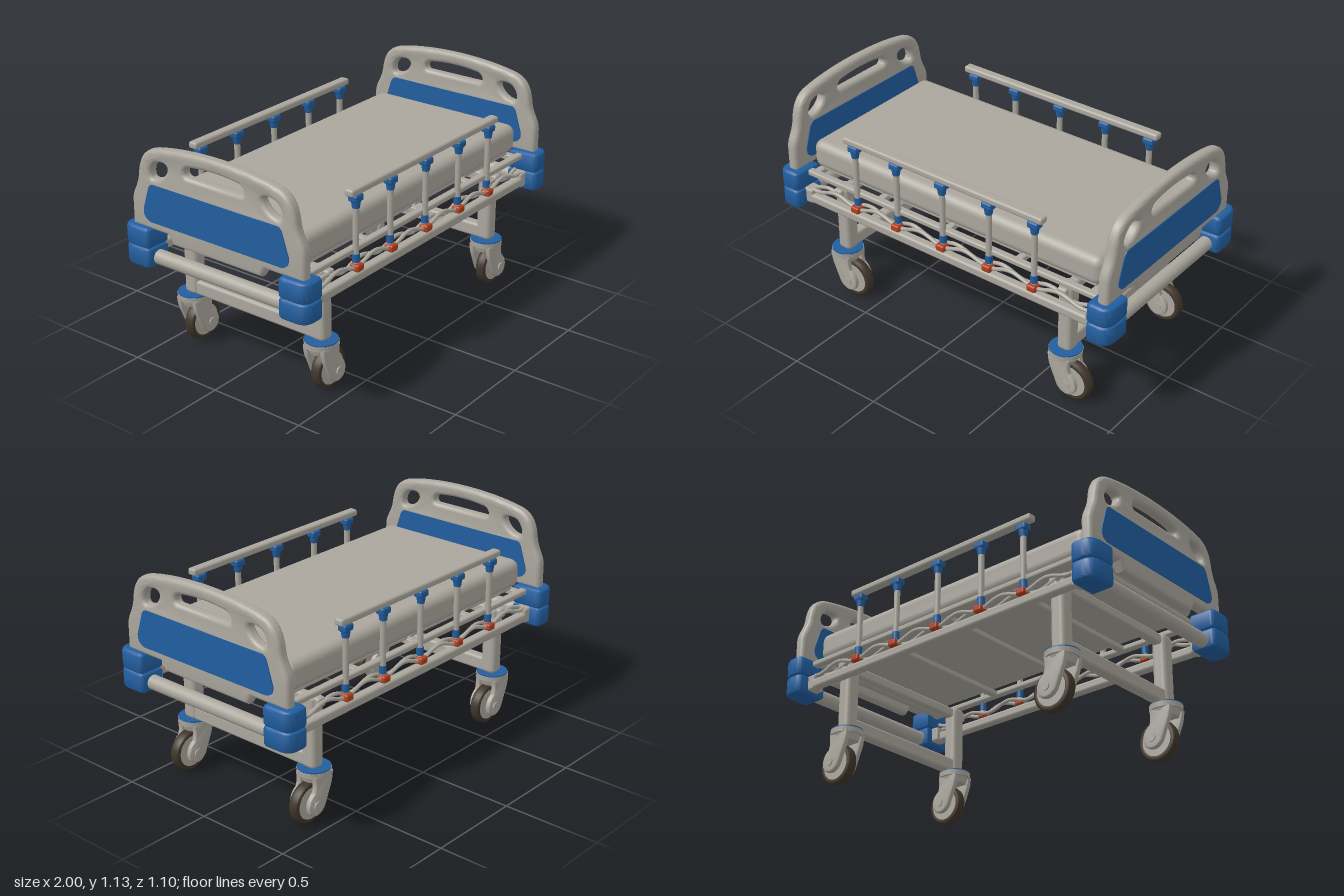
import * as THREE from 'three';
import { toCreasedNormals } from 'three/addons/utils/BufferGeometryUtils.js';
import { RoundedBoxGeometry } from 'three/addons/geometries/RoundedBoxGeometry.js';

const mat = (name, color) => {
  const m = new THREE.MeshStandardMaterial({ color });
  m.name = name;
  return m;
};

export function createModel() {
  const grey = mat('warm grey', 0xaaa69d);
  const blue = mat('blue plastic', 0x215e9f);
  const red = mat('red catch', 0xb23e1c);
  const dark = mat('tyre rubber', 0x40352a);
  const root = new THREE.Group();
  root.name = 'hospitalBed';

  const add = (name, geo, material, x = 0, y = 0, z = 0, parent = root) => {
    const m = new THREE.Mesh(geo, material);
    m.name = name;
    m.position.set(x, y, z);
    parent.add(m);
    return m;
  };
  const box = (w, h, d, r) => new RoundedBoxGeometry(w, h, d, 3, r);
  const cyl = (rt, rb, h, n = 24) => new THREE.CylinderGeometry(rt, rb, h, n);
  const extrude = (shape, depth, bevel, crease = 0.6) => {
    const g = new THREE.ExtrudeGeometry(shape, {
      depth: depth - 2 * bevel, bevelEnabled: bevel > 0, bevelThickness: bevel,
      bevelSize: bevel, bevelOffset: -bevel, bevelSegments: 4, curveSegments: 10,
    });
    g.translate(0, 0, bevel - depth / 2);
    return toCreasedNormals(g, crease);
  };

  // Mattress and the sectioned deck below it
  add('mattress', box(1.73, 0.15, 0.86, 0.045), grey, 0, 0.777, 0);
  for (let i = 0; i < 4; i++) {
    add('deckPanel', box(0.4, 0.02, 0.8, 0.008), grey, -0.63 + i * 0.42, 0.695, 0);
  }
  for (const x of [-0.84, -0.42, 0, 0.42, 0.84]) {
    add('deckCrossMember', box(0.04, 0.03, 0.86, 0.008), grey, x, 0.675, 0);
  }

  // End boards with hand holes and blue panels
  const board = new THREE.Shape();
  board.moveTo(-0.51, 0.69);
  board.lineTo(-0.29, 0.69);
  board.lineTo(-0.265, 0.645);
  board.lineTo(0.265, 0.645);
  board.lineTo(0.29, 0.69);
  board.lineTo(0.51, 0.69);
  board.lineTo(0.51, 0.82);
  board.bezierCurveTo(0.505, 0.87, 0.475, 0.89, 0.465, 0.95);
  board.bezierCurveTo(0.455, 1.04, 0.42, 1.08, 0.36, 1.095);
  board.bezierCurveTo(0.25, 1.12, 0.12, 1.13, 0, 1.13);
  board.bezierCurveTo(-0.12, 1.13, -0.25, 1.12, -0.36, 1.095);
  board.bezierCurveTo(-0.42, 1.08, -0.455, 1.04, -0.465, 0.95);
  board.bezierCurveTo(-0.475, 0.89, -0.505, 0.87, -0.51, 0.82);
  board.closePath();
  const slot = new THREE.Path();
  slot.moveTo(-0.16, 1.007);
  slot.lineTo(0.16, 1.007);
  slot.bezierCurveTo(0.185, 1.01, 0.18, 1.045, 0.15, 1.055);
  slot.quadraticCurveTo(0, 1.078, -0.15, 1.055);
  slot.bezierCurveTo(-0.18, 1.045, -0.185, 1.01, -0.16, 1.007);
  board.holes.push(slot);
  for (const s of [-1, 1]) {
    const h = new THREE.Path();
    h.moveTo(s * 0.375, 0.95);
    h.bezierCurveTo(s * 0.335, 0.945, s * 0.28, 0.985, s * 0.28, 1.02);
    h.bezierCurveTo(s * 0.285, 1.045, s * 0.33, 1.04, s * 0.355, 1.03);
    h.bezierCurveTo(s * 0.385, 1.01, s * 0.4, 0.96, s * 0.375, 0.95);
    board.holes.push(h);
  }
  const panel = new THREE.Shape();
  panel.moveTo(-0.39, 0.733);
  panel.lineTo(0.39, 0.733);
  panel.quadraticCurveTo(0.435, 0.745, 0.43, 0.79);
  panel.lineTo(0.395, 0.9);
  panel.quadraticCurveTo(0.385, 0.925, 0.36, 0.923);
  panel.lineTo(-0.36, 0.923);
  panel.quadraticCurveTo(-0.385, 0.925, -0.395, 0.9);
  panel.lineTo(-0.43, 0.79);
  panel.quadraticCurveTo(-0.435, 0.745, -0.39, 0.733);
  const boardGeo = extrude(board, 0.06, 0.022).rotateY(-Math.PI / 2);
  const panelGeo = extrude(panel, 0.006, 0).rotateY(-Math.PI / 2);

  // Bumper outline: large radius on the outer corner
  const bumper = new THREE.Shape();
  bumper.moveTo(-0.065, -0.082);
  bumper.lineTo(0.04, -0.082);
  bumper.quadraticCurveTo(0.065, -0.08, 0.065, -0.05);
  bumper.lineTo(0.065, 0.01);
  bumper.quadraticCurveTo(0.065, 0.082, 0.0, 0.082);
  bumper.lineTo(-0.035, 0.082);
  bumper.quadraticCurveTo(-0.065, 0.08, -0.065, 0.045);
  bumper.closePath();
  const bumperGeo = extrude(bumper, 0.102, 0.018, 0.9).rotateX(Math.PI / 2);

  for (const sx of [-1, 1]) {
    add('endBoard', boardGeo, grey, sx * 0.935, 0, 0);
    for (const side of [-1, 1]) add('endBoardPanel', panelGeo, blue, sx * 0.935 + side * 0.031, 0, 0);
    add('endCrossTube', cyl(0.036, 0.036, 0.9).rotateX(Math.PI / 2), grey, sx * 0.93, 0.545, 0);
    for (const sz of [-1, 1]) {
      const corner = new THREE.Group();
      corner.name = 'cornerBumper';
      corner.position.set(sx * 0.935, 0, sz * 0.467);
      // Rotate rather than mirror, swapping the outline's handedness as needed
      const g = bumperGeo.clone();
      if (sx * sz < 0) g.rotateX(Math.PI);
      if (sx < 0) g.rotateY(Math.PI);
      for (const y of [0.55, 0.65]) add('bumperLobe', g, blue, 0, y, 0, corner);
      root.add(corner);
      add('cornerBracket', box(0.06, 0.08, 0.07, 0.012), grey, sx * 0.86, 0.56, sz * 0.455);
    }
  }

  // Side frame and folding guard rail on each side
  const postX = [-0.54, -0.28, 0, 0.275, 0.535];
  for (const sz of [-1, 1]) {
    const z = sz * 0.465;
    add('lowerSideRail', box(1.76, 0.05, 0.05, 0.014), grey, 0, 0.55, z);
    add('upperSideRail', box(1.76, 0.03, 0.04, 0.01), grey, 0, 0.677, sz * 0.445);
    add('guardTopRail', box(1.185, 0.036, 0.05, 0.012), grey, -0.005, 0.973, z);
    for (const [phase, base] of [[0, 0.612], [1.6, 0.606]]) {
      const pts = [];
      for (let i = 0; i <= 40; i++) {
        const x = -0.84 + i * 0.042;
        pts.push(new THREE.Vector3(x, base - 0.016 * Math.cos(x * 23.2 + phase), z + sz * (phase ? -0.02 : 0.006)));
      }
      add('foldingLink', new THREE.TubeGeometry(new THREE.CatmullRomCurve3(pts), 80, 0.01, 8), grey);
    }
    for (const x of postX) {
      add('guardPost', cyl(0.015, 0.015, 0.32, 16), grey, x, 0.77, z);
      add('postCollar', box(0.06, 0.035, 0.05, 0.01), blue, x, 0.937, z);
      add('postCollarNeck', cyl(0.024, 0.018, 0.04, 16), blue, x, 0.908, z);
      add('postFoot', cyl(0.018, 0.018, 0.04, 16), blue, x, 0.642, z);
      add('redCatch', box(0.05, 0.036, 0.05, 0.01), red, x, 0.598, sz * 0.472);
    }
  }

  // Fork cheek: sweeps from the swivel cap to the wheel hub
  const cheek = new THREE.Shape();
  cheek.moveTo(-0.062, 0.25);
  cheek.quadraticCurveTo(-0.06, 0.2, -0.042, 0.165);
  cheek.lineTo(-0.008, 0.085);
  cheek.quadraticCurveTo(0.015, 0.052, 0.048, 0.052);
  cheek.quadraticCurveTo(0.1, 0.055, 0.1, 0.11);
  cheek.quadraticCurveTo(0.095, 0.15, 0.062, 0.17);
  cheek.quadraticCurveTo(0.05, 0.2, 0.06, 0.25);
  cheek.closePath();
  const cheekGeo = extrude(cheek, 0.028, 0.008);
  const tyreGeo = new THREE.LatheGeometry([
    [0.076, -0.024], [0.092, -0.027], [0.101, -0.02], [0.105, 0],
    [0.101, 0.02], [0.092, 0.027], [0.076, 0.024],
  ].map(p => new THREE.Vector2(...p)), 40).rotateX(Math.PI / 2);

  // Legs, cross bars and swivel casters
  for (const lx of [-0.695, 0.675]) {
    add('legCrossBar', box(0.06, 0.075, 0.74, 0.015), grey, lx, 0.308, 0);
    add('upperCrossBar', box(0.05, 0.05, 0.9, 0.012), grey, lx, 0.61, 0);
    for (const sz of [-1, 1]) {
      add('leg', box(0.076, 0.37, 0.08, 0.022), grey, lx, 0.455, sz * 0.387);
      const c = new THREE.Group();
      c.name = 'caster';
      c.position.set(lx - 0.005, 0, sz * 0.392);
      root.add(c);
      add('swivelCap', cyl(0.082, 0.08, 0.026, 32), grey, 0, 0.256, 0, c);
      add('swivelCapTop', cyl(0.08, 0.08, 0.007, 32), blue, 0, 0.272, 0, c);
      add('forkHead', cyl(0.07, 0.058, 0.035, 32), grey, 0, 0.229, 0, c);
      for (const s of [-1, 1]) add('forkCheek', cheekGeo, grey, 0, 0, s * 0.05, c);
      add('tyre', tyreGeo, dark, 0.048, 0.105, 0, c);
      add('wheelDisc', cyl(0.08, 0.08, 0.05, 40).rotateX(Math.PI / 2), grey, 0.048, 0.105, 0, c);
      add('axle', cyl(0.022, 0.022, 0.14, 20).rotateX(Math.PI / 2), grey, 0.048, 0.105, 0, c);
    }
  }
  return root;
}
